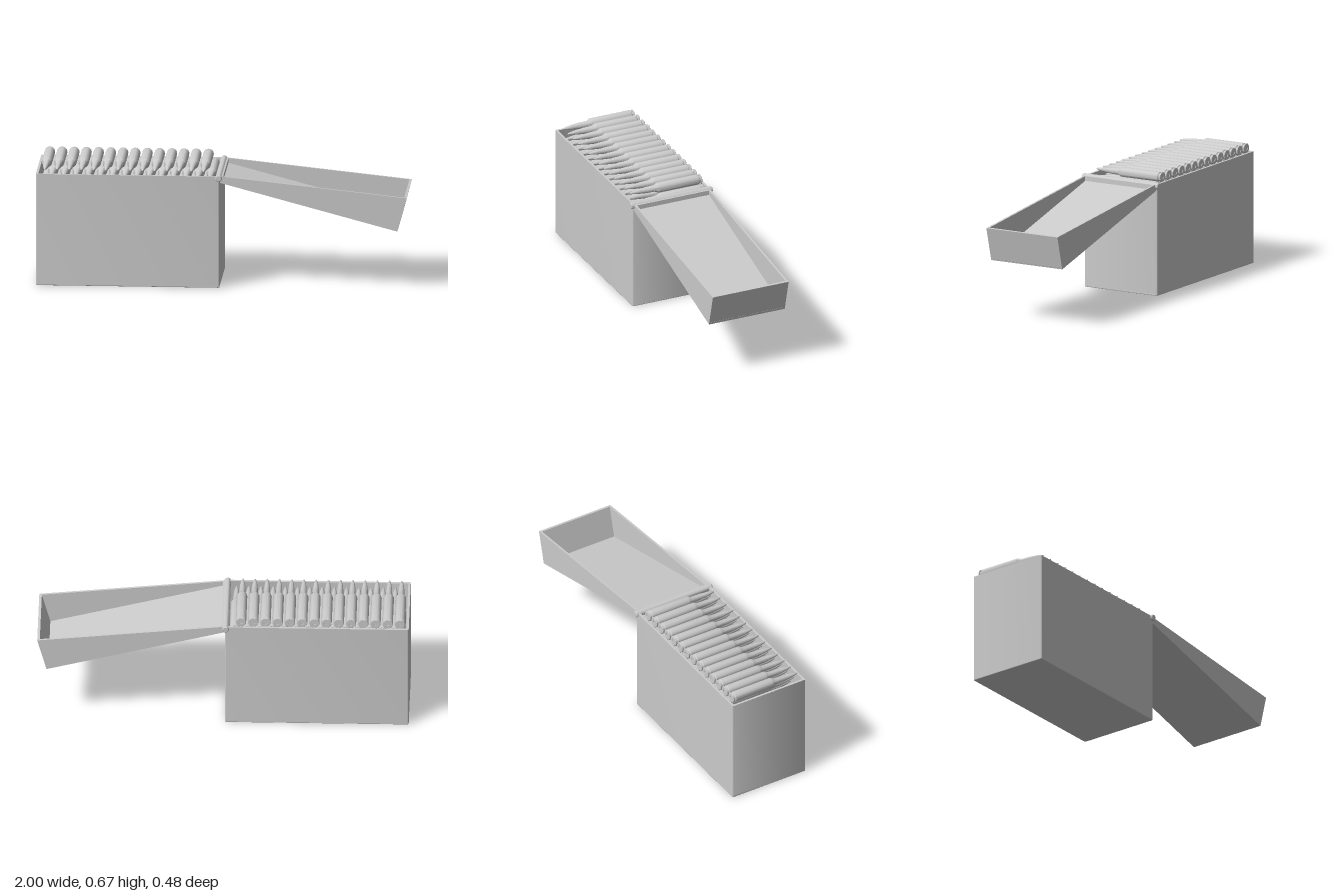
import * as THREE from 'three';
import { toCreasedNormals } from 'three/addons/utils/BufferGeometryUtils.js';

const material = new THREE.MeshStandardMaterial({ color: 0xcccccc });

function add(parent, name, geometry, x = 0, y = 0, z = 0) {
  const mesh = new THREE.Mesh(geometry, material);
  mesh.name = name;
  mesh.position.set(x, y, z);
  parent.add(mesh);
  return mesh;
}

// Rectangle with small rounded corners, centred on the origin
function roundedRect(Type, w, h, r) {
  const s = new Type();
  const x = w / 2 - r, y = h / 2 - r;
  s.absarc(x, y, r, 0, Math.PI / 2);
  s.absarc(-x, y, r, Math.PI / 2, Math.PI);
  s.absarc(-x, -y, r, Math.PI, Math.PI * 1.5);
  s.absarc(x, -y, r, Math.PI * 1.5, Math.PI * 2);
  s.closePath();
  return s;
}

// Side profile in x/y, extruded along z and centred on z = 0
function slab(points, depth) {
  const shape = new THREE.Shape(points.map(([x, y]) => new THREE.Vector2(x, y)));
  const g = new THREE.ExtrudeGeometry(shape, { depth, bevelEnabled: false });
  return g.translate(0, 0, -depth / 2);
}

// Lathe around z, profile given as [radius, z]
function turned(points, segments) {
  const g = new THREE.LatheGeometry(points.map(([r, z]) => new THREE.Vector2(r, z)), segments);
  return toCreasedNormals(g.rotateX(Math.PI / 2), 0.6);
}

export function createModel() {
  const model = new THREE.Group();
  model.name = 'ammunitionBox';

  // Open box: hollow wall tube and a floor with a fine bevelled edge
  const box = new THREE.Group();
  box.name = 'box';
  box.position.x = -0.505;
  model.add(box);
  const wallShape = roundedRect(THREE.Shape, 0.99, 0.46, 0.006);
  wallShape.holes.push(roundedRect(THREE.Path, 0.964, 0.434, 0.004));
  const walls = new THREE.ExtrudeGeometry(wallShape, { depth: 0.611, bevelEnabled: false, curveSegments: 4 });
  add(box, 'walls', toCreasedNormals(walls.rotateX(-Math.PI / 2), 0.6), 0, 0.004, 0);
  const floor = new THREE.ExtrudeGeometry(roundedRect(THREE.Shape, 0.982, 0.452, 0.004), {
    depth: 0.008, bevelThickness: 0.004, bevelSize: 0.004, bevelSegments: 2, curveSegments: 4,
  });
  add(box, 'floor', floor.rotateX(-Math.PI / 2), 0, 0.004, 0);

  // Hinge rod with rounded ends
  add(model, 'hingeRod', turned([
    [0, -0.241], [0.014, -0.241], [0.018, -0.237], [0.018, 0.237], [0.014, 0.241], [0, 0.241],
  ], 20), -0.014, 0.606, 0);

  // Open lid: wedge tray hanging from the hinge
  const lid = new THREE.Group();
  lid.name = 'lid';
  model.add(lid);
  const wedge = [[-0.008, 0.58], [0.95, 0.325], [1, 0.51], [-0.008, 0.616]];
  for (const side of [-1, 1]) add(lid, 'lidSide', slab(wedge, 0.012), 0, 0, side * 0.219);
  add(lid, 'lidPanel', slab([[-0.008, 0.58], [0.95, 0.325], [0.954, 0.337], [-0.008, 0.593]], 0.426));
  add(lid, 'lidEnd', slab([[0.95, 0.325], [1, 0.51], [0.986, 0.5115], [0.937, 0.329]], 0.426));
  add(lid, 'lidHingeEdge', slab([[-0.008, 0.58], [0.01, 0.576], [0.01, 0.614], [-0.008, 0.616]], 0.426));

  // Cartridge: rim, extraction groove, case, shoulder, neck and pointed bullet
  const cartridge = turned([
    [0, -0.209], [0.01, -0.209], [0.01, -0.212], [0.026, -0.212], [0.028, -0.21], [0.028, -0.206],
    [0.023, -0.205], [0.023, -0.198], [0.028, -0.194], [0.028, 0.04], [0.026, 0.046],
    [0.018, 0.062], [0.0165, 0.12], [0.0155, 0.124], [0.0145, 0.14],
    [0.0115, 0.168], [0.0075, 0.19], [0.004, 0.204], [0.002, 0.207], [0, 0.2075],
  ], 20);

  // Staggered layers of cartridges, only the top one rising above the rim
  const pitch = 0.0658;
  const layers = new THREE.Group();
  layers.name = 'cartridges';
  model.add(layers);
  for (let layer = 0; layer < 3; layer++) {
    for (let i = 0; i < 14; i++) {
      const x = -0.952 + i * pitch + (layer % 2) * pitch / 2;
      add(layers, 'cartridge', cartridge, x, 0.637 - layer * 0.047, 0);
    }
  }
  return model;
}
